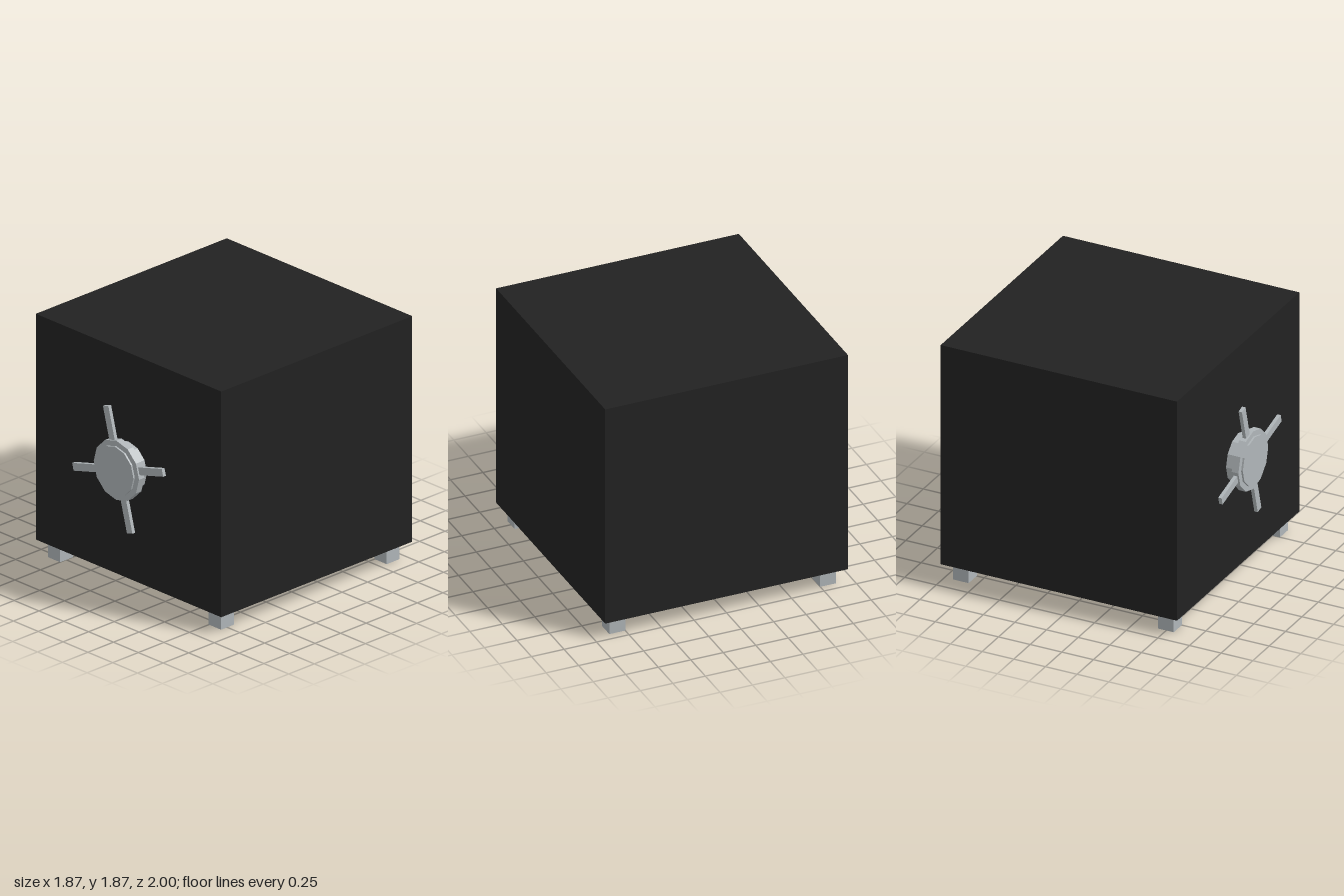
import * as THREE from 'three';

export function createModel() {
  const group = new THREE.Group();
  const black = new THREE.MeshStandardMaterial({ color: 0x222222 });
  black.name = 'black paint';
  const steel = new THREE.MeshStandardMaterial({ color: 0xb0b6b9 });
  steel.name = 'pale steel';
  steel.flatShading = true;

  const add = (parent, name, geometry, material, x, y, z) => {
    const mesh = new THREE.Mesh(geometry, material);
    mesh.name = name;
    mesh.position.set(x, y, z);
    parent.add(mesh);
    return mesh;
  };

  // Safe body
  add(group, 'body', new THREE.BoxGeometry(1.867, 1.734, 1.867), black, 0, 1, -0.0665);

  // Four square feet
  const foot = new THREE.BoxGeometry(0.125, 0.133, 0.125);
  for (const x of [-0.81, 0.81]) {
    for (const z of [0.747, -0.873]) add(group, 'foot', foot, steel, x, 0.0665, z);
  }

  // Door wheel: hub, rim and four spokes in one turned group
  const wheel = new THREE.Group();
  wheel.name = 'doorWheel';
  wheel.position.set(0, 1, 0);
  group.add(wheel);

  const disc = (r, depth) => new THREE.CylinderGeometry(r, r, depth, 12).rotateX(Math.PI / 2);
  add(wheel, 'hub', disc(0.186, 0.133), steel, 0, 0, 0.9335);
  add(wheel, 'rim', disc(0.228, 0.053), steel, 0, 0, 0.96);

  const spoke = new THREE.BoxGeometry(0.29, 0.057, 0.027);
  for (let i = 0; i < 4; i++) {
    const a = Math.PI / 12 + (i * Math.PI) / 2;
    const mesh = add(wheel, 'spoke', spoke, steel, Math.cos(a) * 0.322, Math.sin(a) * 0.322, 0.96);
    mesh.rotation.z = a;
  }

  return group;
}
